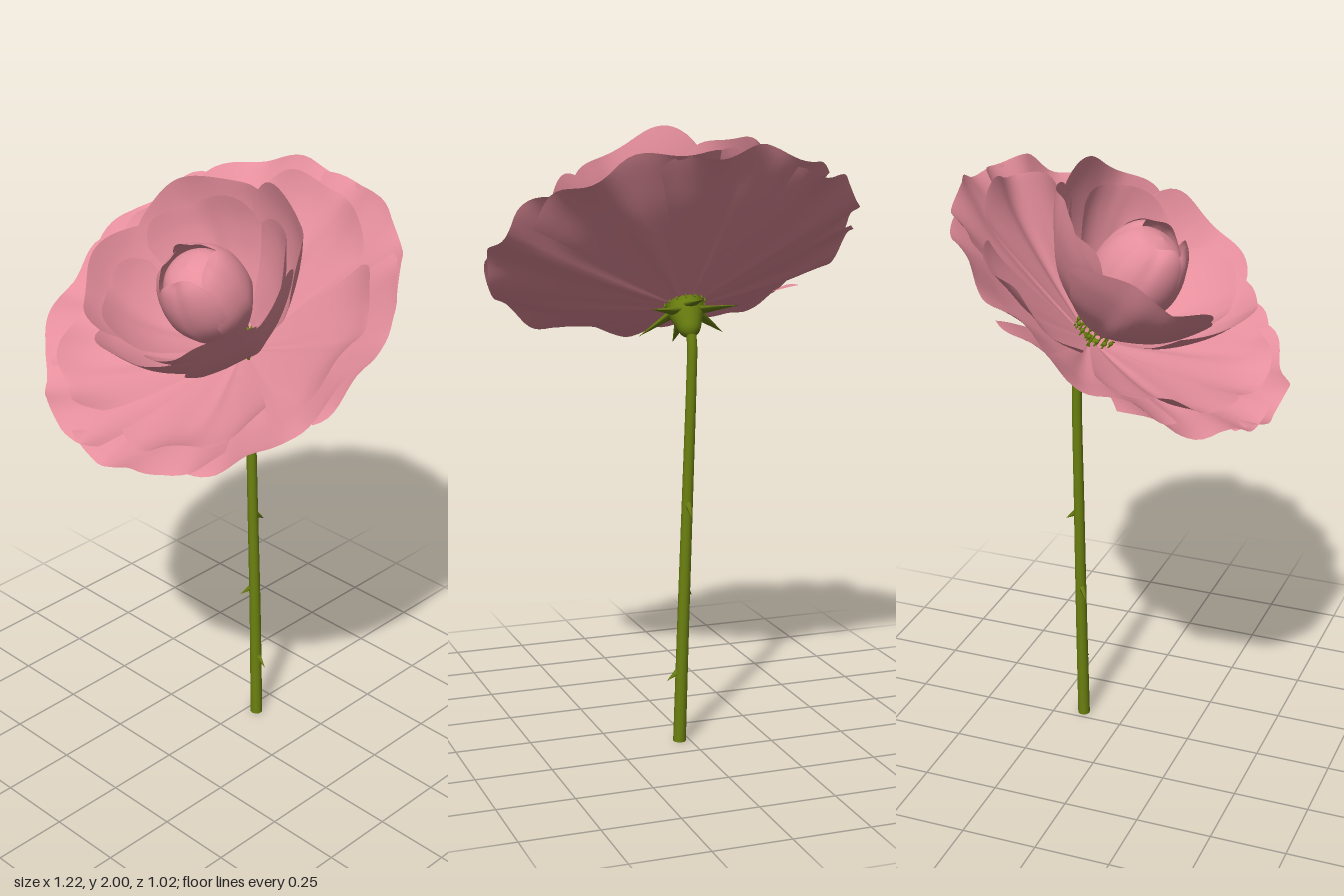
import * as THREE from 'three';

const petalPink = new THREE.MeshStandardMaterial({ color: 0xe68f9d, side: THREE.DoubleSide });
petalPink.name = 'petalPink';
const stemGreen = new THREE.MeshStandardMaterial({ color: 0x6c8210, side: THREE.DoubleSide });
stemGreen.name = 'stemGreen';

function part(name, geometry, material, parent) {
  const mesh = new THREE.Mesh(geometry, material);
  mesh.name = name;
  parent.add(mesh);
  return mesh;
}

const spline = (points) => new THREE.SplineCurve(points.map(([x, y]) => new THREE.Vector2(x, y)));

// One petal: a profile (radius, height) swept over an angle, shortened at its sides,
// tipped so neighbours overlap, and rippled toward the rim.
function petalGeometry(profile, angle, half, { round, lean, ripple, waves, seed }) {
  const NU = 28, NV = 18, pos = [], index = [], p = new THREE.Vector2();
  for (let j = 0; j <= NV; j++) {
    for (let i = 0; i <= NU; i++) {
      const u = (i / NU) * 2 - 1, v = j / NV;
      const edge = 1 - round * Math.pow(Math.abs(u), 3.5)
        + ripple * 0.7 * Math.sin(u * waves * 1.4 + seed * 2.3);
      profile.getPoint(Math.min(1, v * Math.min(edge, 1)), p);
      const r = p.x * (1 + Math.max(0, edge - 1) * v);
      const wave = Math.sin(u * waves + seed * 1.7) * ripple * v ** 3;
      const crease = -0.012 * Math.exp(-u * u * 30) * Math.sin(Math.PI * v);
      const h = p.y + lean * u * v + wave + crease;
      const a = angle + u * half;
      pos.push(r * Math.sin(a), h, r * Math.cos(a));
      if (i < NU && j < NV) {
        const k = j * (NU + 1) + i;
        index.push(k, k + 1, k + NU + 1, k + 1, k + NU + 2, k + NU + 1);
      }
    }
  }
  const g = new THREE.BufferGeometry();
  g.setAttribute('position', new THREE.Float32BufferAttribute(pos, 3));
  g.setIndex(index);
  g.computeVertexNormals();
  return g;
}

function petalRing(name, parent, count, start, half, points, options) {
  const ring = new THREE.Group();
  ring.name = name;
  parent.add(ring);
  const profile = spline(points);
  for (let i = 0; i < count; i++) {
    const angle = start + (i / count) * Math.PI * 2;
    part('petal', petalGeometry(profile, angle, half, { ...options, seed: i + count }), petalPink, ring);
  }
}

function buildStem(parent) {
  const curve = new THREE.CatmullRomCurve3([
    [0.034, 0, -0.147], [0.022, 0.4, -0.148], [0.006, 0.85, -0.146],
    [-0.007, 1.22, -0.144], [-0.01, 1.32, -0.139], [-0.005, 1.4, -0.115],
  ].map((p) => new THREE.Vector3(...p)));
  const segments = 40, sides = 10;
  const g = new THREE.TubeGeometry(curve, segments, 0.021, sides);
  // Taper toward the flower
  const pos = g.attributes.position, v = new THREE.Vector3();
  for (let i = 0; i < pos.count; i++) {
    const t = Math.floor(i / (sides + 1)) / segments;
    const c = curve.getPointAt(t);
    v.fromBufferAttribute(pos, i).sub(c).multiplyScalar(1 - 0.25 * t).add(c);
    pos.setXYZ(i, v.x, Math.max(0, v.y), v.z);
  }
  part('stem', g, stemGreen, parent);
  const cap = part('stemEnd', new THREE.CircleGeometry(0.021, sides), stemGreen, parent);
  cap.rotation.x = Math.PI / 2;
  cap.position.set(0.034, 0.001, -0.147);

  // Thorns: height and outward direction
  for (const [y, dx, dz] of [[0.81, 0.1, -1], [0.525, -0.75, 0.65], [0.25, 1, 0.1]]) {
    const out = new THREE.Vector3(dx, -0.8, dz).normalize();
    const c = curve.getPoint(0);
    for (let t = 0; t <= 1; t += 0.005) {
      const q = curve.getPoint(t);
      if (Math.abs(q.y - y) < Math.abs(c.y - y)) c.copy(q);
    }
    const thorn = part('thorn', new THREE.ConeGeometry(0.014, 0.06, 6), stemGreen, parent);
    thorn.quaternion.setFromUnitVectors(new THREE.Vector3(0, 1, 0), out);
    thorn.position.copy(c).addScaledVector(out, 0.034);
  }
}

function buildCalyx(parent) {
  const cup = [[0.016, -0.105], [0.032, -0.09], [0.044, -0.06], [0.056, -0.025], [0.06, 0], [0.065, 0.02]];
  part('calyx', new THREE.LatheGeometry(spline(cup).getPoints(14), 16), stemGreen, parent);
  // Pointed sepals spread below the petals
  for (let i = 0; i < 6; i++) {
    const pivot = new THREE.Group();
    pivot.name = 'sepal';
    pivot.rotation.y = (i / 6) * Math.PI * 2;
    parent.add(pivot);
    const g = new THREE.ConeGeometry(0.029, 0.14, 8);
    g.scale(1, 1, 0.4);
    const leaf = part('sepalBlade', g, stemGreen, pivot);
    leaf.rotation.x = Math.PI / 2 + 0.16 + (i % 2) * 0.2;
    leaf.position.set(0, -0.035, 0.1);
  }
  // Ring of stamens between the outer petals and the cup
  for (let i = 0; i < 28; i++) {
    const a = (i / 28) * Math.PI * 2, r = 0.048 + (i % 2) * 0.018, top = 0.058 - (i % 2) * 0.016;
    const stalk = part('stamenStalk', new THREE.CylinderGeometry(0.003, 0.003, top, 5), stemGreen, parent);
    stalk.position.set(r * Math.sin(a), top / 2, r * Math.cos(a));
    const tip = part('stamenTip', new THREE.SphereGeometry(0.008, 6, 5), stemGreen, parent);
    tip.position.set(r * Math.sin(a), top, r * Math.cos(a));
  }
}

export function createModel() {
  const model = new THREE.Group();
  model.name = 'flower';
  buildStem(model);

  // The bloom faces up and forward
  const bloom = new THREE.Group();
  bloom.name = 'bloom';
  bloom.position.set(0, 1.43, -0.1);
  bloom.rotation.x = 0.59;
  model.add(bloom);
  buildCalyx(bloom);

  petalRing('outerPetals', bloom, 8, 0.2, 0.56,
    [[0.03, 0], [0.2, 0.055], [0.4, 0.125], [0.52, 0.175], [0.605, 0.21]],
    { round: 0.11, lean: 0.02, ripple: 0.02, waves: 7 });
  petalRing('secondPetals', bloom, 5, 0.5, 0.55,
    [[0.03, 0.01], [0.18, 0.065], [0.36, 0.138], [0.46, 0.187], [0.53, 0.235]],
    { round: 0.2, lean: 0.02, ripple: 0.02, waves: 6 });
  petalRing('cupPetals', bloom, 5, 0, 0.74,
    [[0.065, 0.066], [0.135, 0.115], [0.24, 0.21], [0.32, 0.33], [0.36, 0.425]],
    { round: 0.2, lean: 0.02, ripple: 0.018, waves: 5 });
  petalRing('innerCupPetals', bloom, 4, 0.65, 0.75,
    [[0.065, 0.075], [0.125, 0.13], [0.21, 0.22], [0.27, 0.31], [0.305, 0.39]],
    { round: 0.25, lean: 0.02, ripple: 0.016, waves: 5 });

  // Closed bud in the middle
  const bud = [[0.02, 0.07], [0.075, 0.15], [0.125, 0.25], [0.122, 0.34], [0.08, 0.415], [0, 0.44]];
  part('budCore', new THREE.LatheGeometry(spline(bud).getPoints(20), 28), petalPink, bloom);
  petalRing('budPetals', bloom, 4, 0.3, 0.95,
    [[0.022, 0.06], [0.085, 0.15], [0.138, 0.25], [0.137, 0.34], [0.11, 0.41], [0.075, 0.445]],
    { round: 0.3, lean: 0.012, ripple: 0.008, waves: 4 });
  return model;
}
